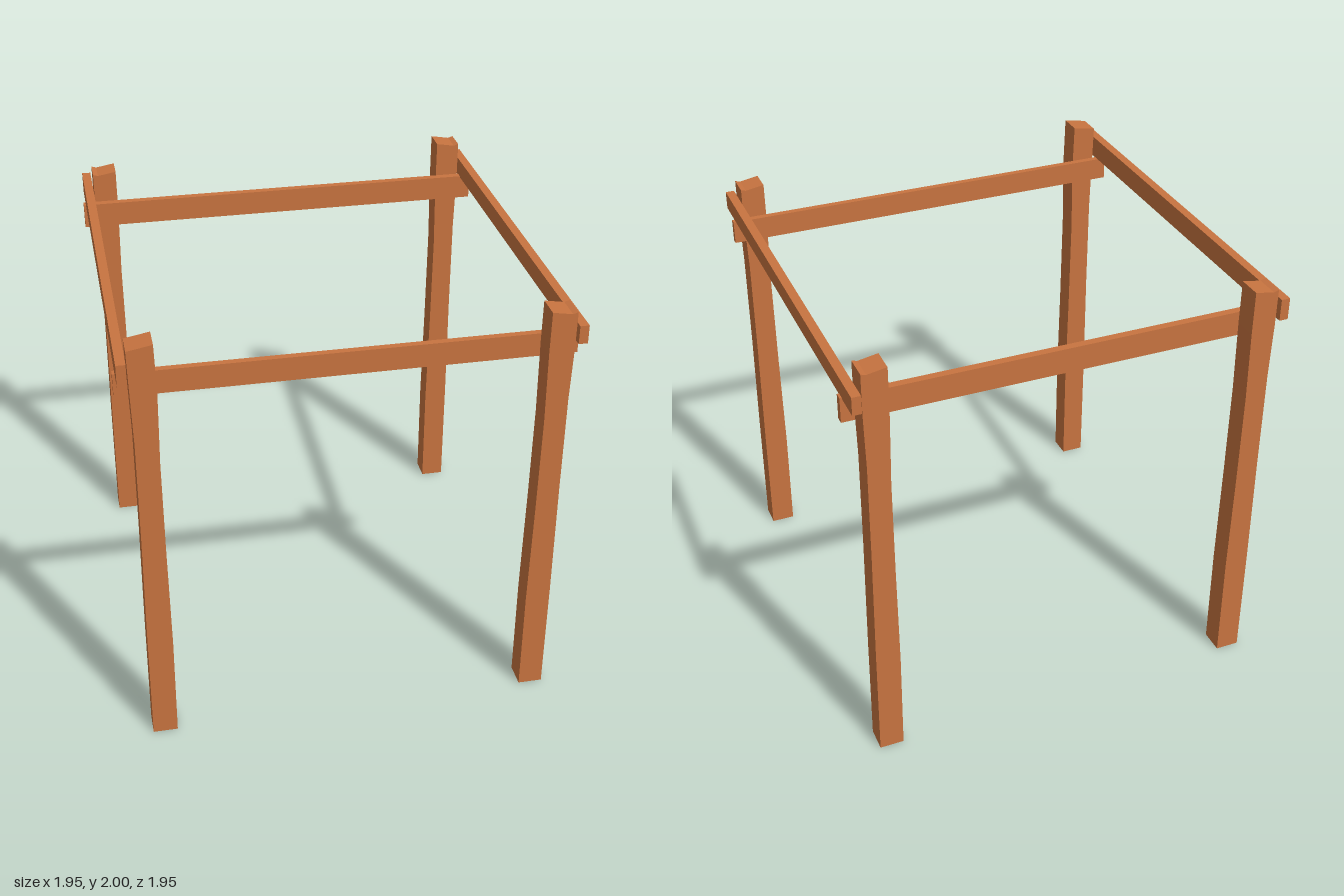
import * as THREE from 'three';

const wood = new THREE.MeshStandardMaterial({ color: 0xc87440, flatShading: true });

// Rough-hewn post: a slightly wavy outline extruded through its depth.
// Outline points are [distance from centre line of the frame, height].
function post(name, side, z, top) {
  const outline = [
    [0.81, 0], [0.92, 0], [0.918, 0.55], [0.913, 1.1], [0.912, 1.55], [0.918, 1.8],
    ...top,
    [0.808, 1.78], [0.814, 1.45], [0.812, 1.0], [0.807, 0.5],
  ].map(([x, y]) => new THREE.Vector2(side * x, y));
  const geometry = new THREE.ExtrudeGeometry(new THREE.Shape(outline), { depth: 0.11, bevelEnabled: false });
  geometry.translate(0, 0, z - 0.055);
  const mesh = new THREE.Mesh(geometry, wood);
  mesh.name = name;
  return mesh;
}

// Straight beam given by its minimum and maximum corners.
function beam(name, min, max) {
  const size = max.map((v, i) => v - min[i]);
  const mesh = new THREE.Mesh(new THREE.BoxGeometry(...size), wood);
  mesh.position.set(...max.map((v, i) => (v + min[i]) / 2));
  mesh.name = name;
  return mesh;
}

export function createModel() {
  const group = new THREE.Group();
  group.name = 'postFrame';

  // Four corner posts with uneven tops
  const wavy = (y) => [[0.918, y - 0.008], [0.895, y - 0.015], [0.808, y]];
  const slanted = [[0.922, 1.98], [0.813, 2]];
  group.add(
    post('frontRightPost', 1, 0.9, wavy(1.975)),
    post('frontLeftPost', -1, 0.9, slanted),
    post('backRightPost', 1, -0.9, wavy(2)),
    post('backLeftPost', -1, -0.9, wavy(1.98)),
  );

  // Lower beams run across, inside the posts
  group.add(
    beam('frontBeam', [-0.975, 1.715, 0.815], [0.975, 1.822, 0.845]),
    beam('backBeam', [-0.975, 1.717, -0.845], [0.975, 1.832, -0.81]),
  );

  // Upper beams run front to back, outside the posts
  group.add(
    beam('rightSideBeam', [0.925, 1.827, -0.975], [0.965, 1.91, 0.972]),
    beam('leftSideBeam', [-0.965, 1.832, -0.975], [-0.925, 1.932, 0.972]),
  );
  return group;
}
